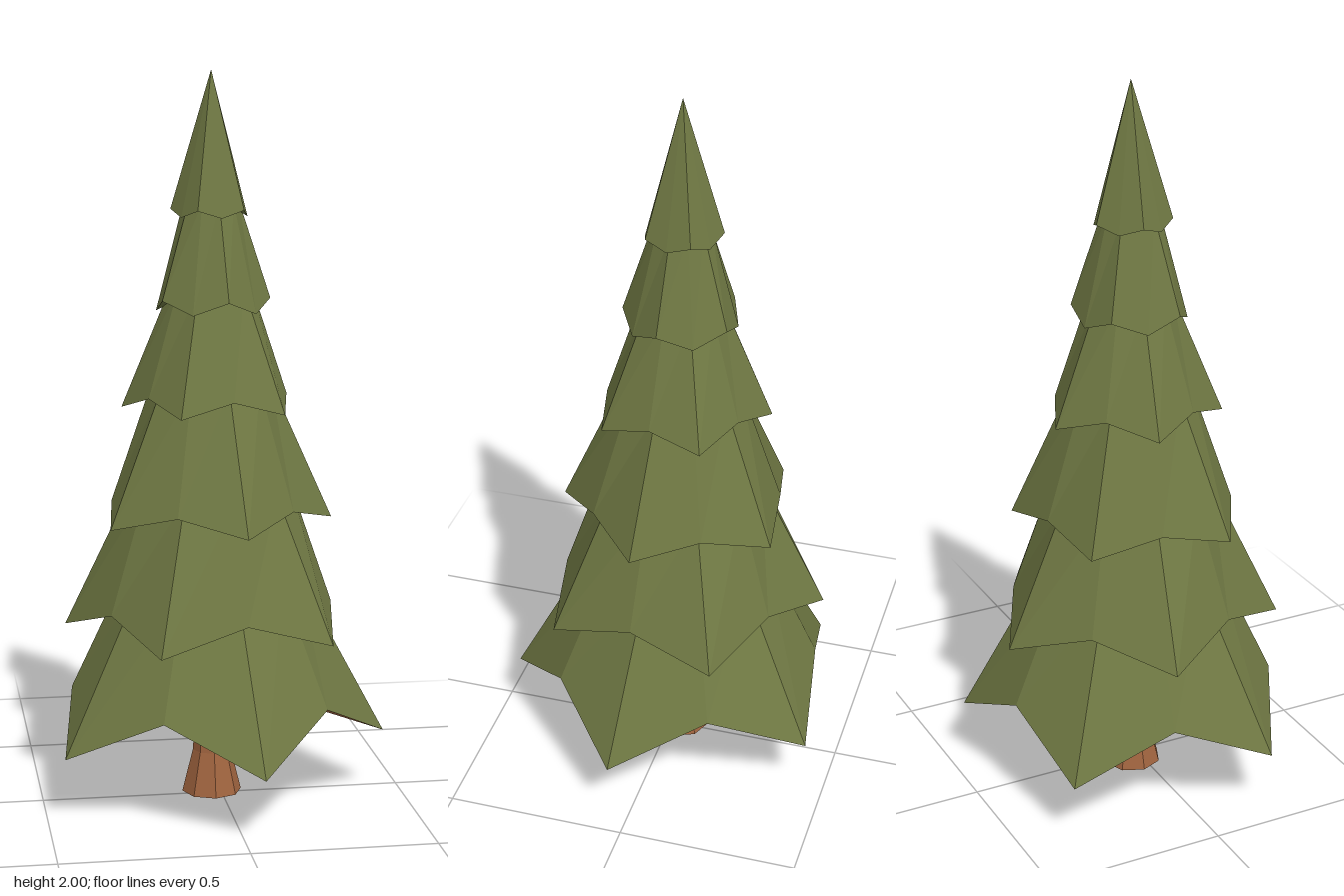
import * as THREE from 'three';

const SIDES = 10;
const TURN = THREE.MathUtils.degToRad(9.2);

// Flat-shaded band between two rings; ring(i) returns [radius, height]
function band(lower, upper) {
  const pos = [];
  const point = (ring, i) => {
    const [r, y] = ring(i % SIDES);
    const a = TURN + (i / SIDES) * Math.PI * 2;
    return [r * Math.cos(a), y, r * Math.sin(a)];
  };
  for (let i = 0; i < SIDES; i++) {
    const a = point(lower, i), b = point(lower, i + 1);
    const c = point(upper, i), d = point(upper, i + 1);
    pos.push(...b, ...a, ...c);
    if (upper(i)[0] > 0) pos.push(...b, ...c, ...d);
  }
  const geo = new THREE.BufferGeometry();
  geo.setAttribute('position', new THREE.Float32BufferAttribute(pos, 3));
  geo.computeVertexNormals();
  return geo;
}

export function createModel() {
  const tree = new THREE.Group();
  tree.name = 'pineTree';
  const green = new THREE.MeshStandardMaterial({ color: 0x6f7843, flatShading: true });
  const brown = new THREE.MeshStandardMaterial({ color: 0xa0643f, flatShading: true });
  const add = (name, geo, mat, parent = tree) => {
    const mesh = new THREE.Mesh(geo, mat);
    mesh.name = name;
    parent.add(mesh);
  };

  // Foliage tiers: even corners, odd corners and top, each [radius, height]
  const tiers = [
    [[0.48, 0.175], [0.39, 0.30], [0.24, 0.62]],
    [[0.33, 0.55], [0.407, 0.48], [0.22, 0.87]],
    [[0.33, 0.785], [0.275, 0.83], [0.162, 1.16]],
    [[0.205, 1.13], [0.246, 1.09], [0.11, 1.42]],
    [[0.16, 1.39], [0.15, 1.355], [0.075, 1.65]],
    [[0.098, 1.61], [0.11, 1.63], [0, 2]],
  ];
  tiers.forEach(([even, odd, top], k) => {
    const tier = new THREE.Group();
    tier.name = `foliageTier${k + 1}`;
    const hem = (i) => (i % 2 ? odd : even);
    const inner = [k ? 0.03 : 0.04, Math.max(even[1], odd[1]) + 0.025];
    add('needles', band(hem, () => top), green, tier);
    // Underside runs from the centre out to the hem, facing down
    add('underside', band(() => inner, hem), k ? green : brown, tier);
    tree.add(tier);
  });

  // Trunk flaring out at the root
  const profile = [[0, 0], [0.083, 0], [0.053, 0.12], [0.045, 0.24], [0.045, 0.45]];
  add('trunk', new THREE.LatheGeometry(profile.map((p) => new THREE.Vector2(...p)), 8), brown);

  // The low corners are uneven, so the axis sits slightly off centre
  tree.children.forEach((part) => part.position.set(-0.024, 0, -0.025));
  // Undersides face down: flip the bands whose inner ring comes first
  tree.traverse((o) => {
    if (o.name !== 'underside') return;
    const p = o.geometry.attributes.position;
    const first = new THREE.Vector3(), last = new THREE.Vector3();
    if (o.geometry.attributes.normal.getY(3) <= 0) return;
    for (let i = 0; i < p.count; i += 3) {
      first.fromBufferAttribute(p, i);
      last.fromBufferAttribute(p, i + 2);
      p.setXYZ(i, last.x, last.y, last.z);
      p.setXYZ(i + 2, first.x, first.y, first.z);
    }
    o.geometry.computeVertexNormals();
  });
  return tree;
}
